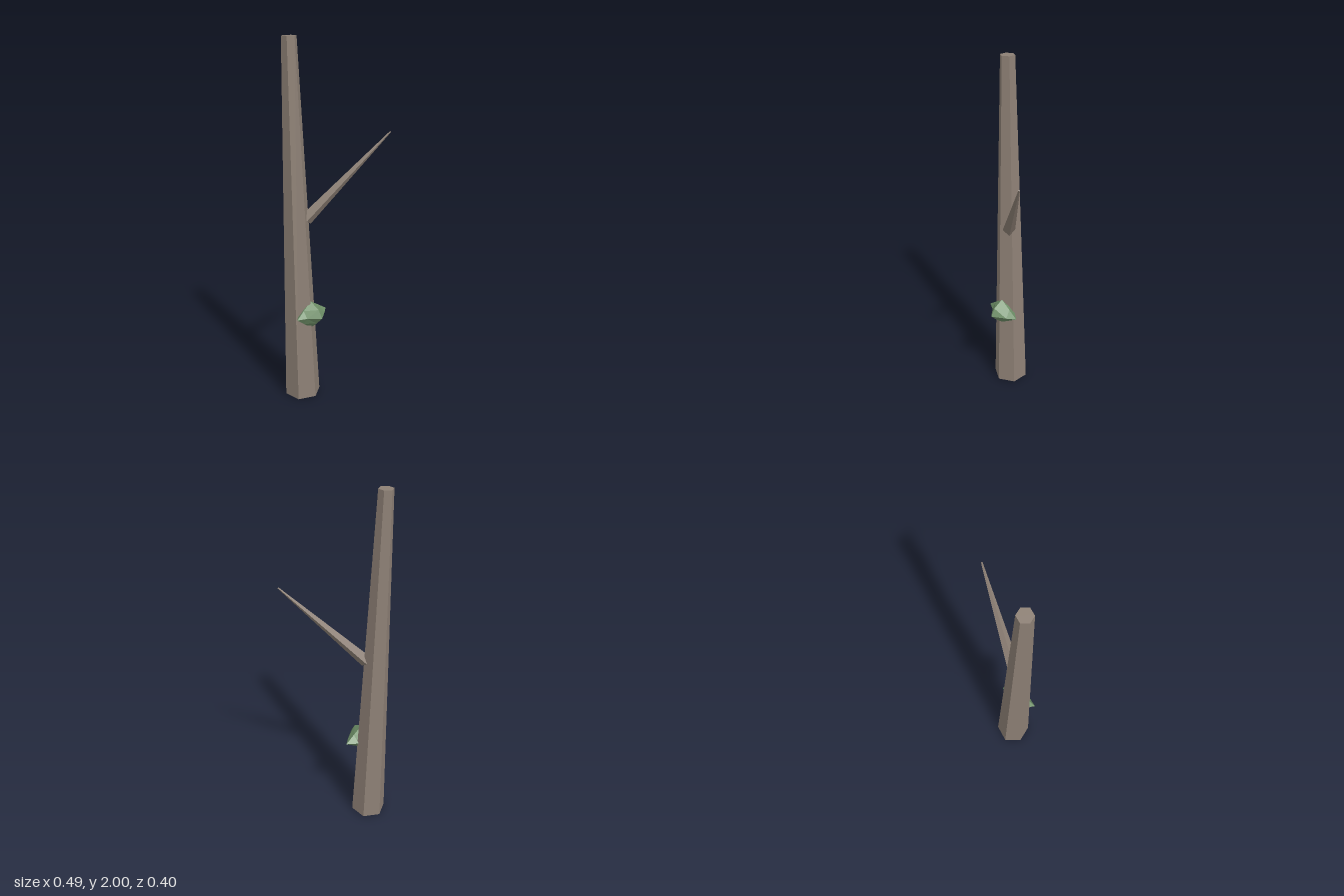
import * as THREE from 'three';

const bark = new THREE.MeshStandardMaterial({ color: 0x8d8075, flatShading: true });
const leaf = new THREE.MeshStandardMaterial({ color: 0x6f9068, flatShading: true });

// Tapered prism from a to b, with one pair of corners kept level
function limb(name, a, b, rA, rB, sides, side) {
  const mesh = new THREE.Mesh(new THREE.CylinderGeometry(rB, rA, a.distanceTo(b), sides), bark);
  const y = b.clone().sub(a).normalize();
  const x = side.clone().addScaledVector(y, -side.dot(y)).normalize();
  const z = x.clone().cross(y);
  mesh.quaternion.setFromRotationMatrix(new THREE.Matrix4().makeBasis(x, y, z));
  mesh.position.copy(a).add(b).multiplyScalar(0.5);
  mesh.name = name;
  return mesh;
}

// Leaf tuft: a split octahedron with its edge midpoints drawn in to make points
function makeTuft() {
  const geo = new THREE.OctahedronGeometry(1, 1);
  const p = geo.attributes.position;
  for (let i = 0; i < p.count; i++) {
    const [x, y, z] = [p.getX(i), p.getY(i), p.getZ(i)].map((v) => (Math.abs(v) < 0.01 ? 0 : Math.sign(v)));
    let k = [1, 1, 1];
    if (x && z) k = x > 0 && z > 0 ? [0.62, 1, 0.42] : [0.52, 1, z > 0 ? 0.3 : 0.5];
    else if (x && y) k = [0.52, 0.48, 1];
    else if (y && z) k = y > 0 ? [1, 0.56, 0.7] : [1, 0.5, 0.53];
    p.setXYZ(i, x * k[0] * (x > 0 ? 0.122 : 0.105), y * k[1] * 0.08, z * k[2] * 0.086);
  }
  geo.computeVertexNormals();
  const mesh = new THREE.Mesh(geo, leaf);
  mesh.position.set(-0.142, 0.505, -0.035);
  mesh.name = 'leafTuft';
  return mesh;
}

export function createModel() {
  const group = new THREE.Group();
  group.name = 'bareTree';
  const v = (x, y, z) => new THREE.Vector3(x, y, z);

  // Leaning six-sided trunk
  group.add(limb('trunk', v(-0.142, 0.002, -0.103), v(-0.182, 1.999, -0.127), 0.1, 0.04, 6, v(1, 0, 0)));

  // Four-sided side branch
  group.add(limb('branch', v(-0.125, 1.043, -0.078), v(0.242, 1.502, 0.196), 0.035, 0.004, 4, v(-0.61, 0, 0.79)));

  group.add(makeTuft());
  return group;
}
